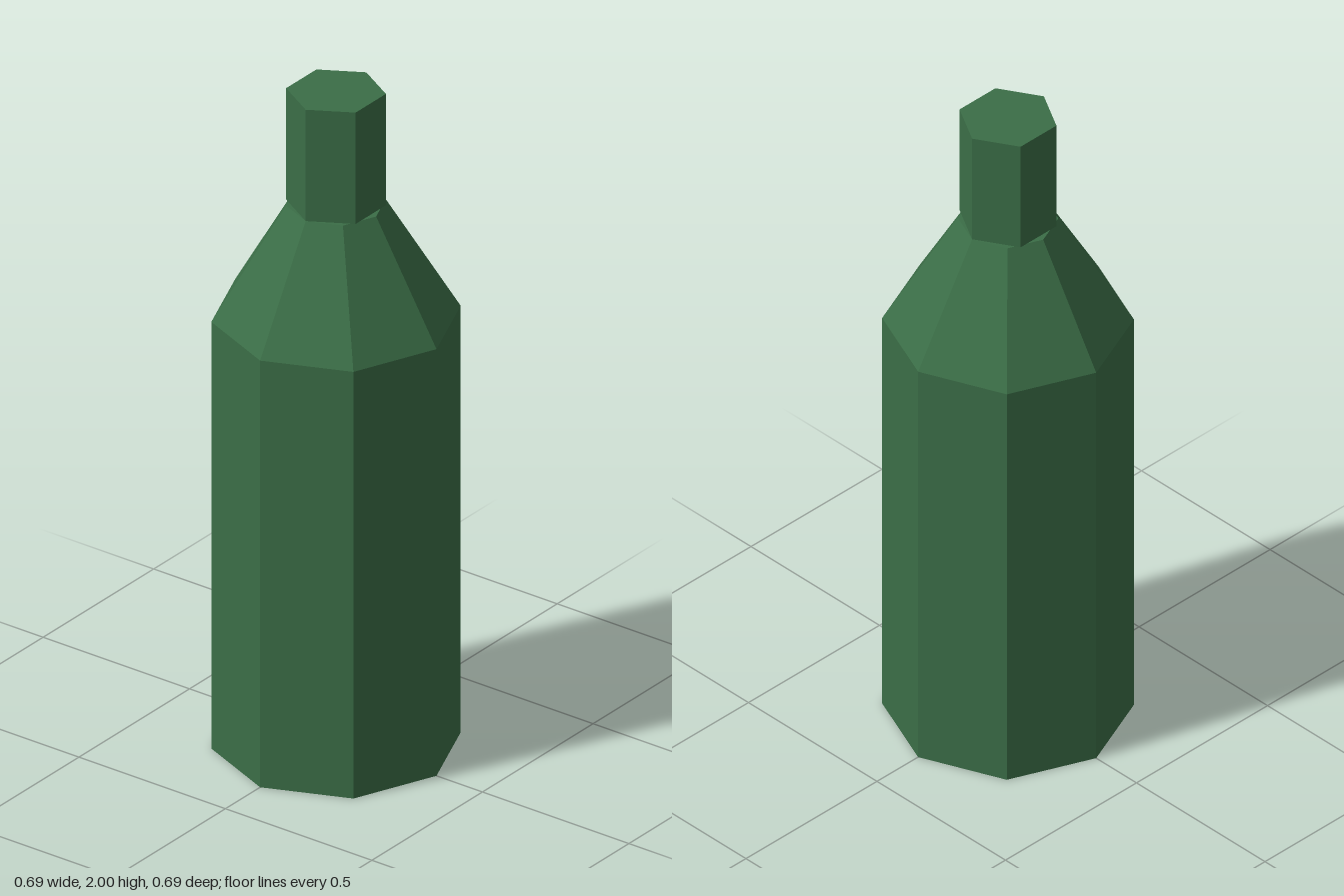
import * as THREE from 'three';

export function createModel() {
  const model = new THREE.Group();
  model.name = 'bottle';

  const bottleGreen = new THREE.MeshStandardMaterial({ color: 0x3b6e47, flatShading: true });
  bottleGreen.name = 'bottleGreen';

  // Adds one faceted section standing between two heights
  function addSection(name, topRadius, bottomRadius, y0, y1, sides, turn = 0, open = false) {
    const geometry = new THREE.CylinderGeometry(topRadius, bottomRadius, y1 - y0, sides, 1, open, turn);
    const mesh = new THREE.Mesh(geometry, bottleGreen);
    mesh.name = name;
    mesh.position.y = (y0 + y1) / 2;
    model.add(mesh);
  }

  // Octagonal body and tapering shoulder
  addSection('body', 0.343, 0.343, 0, 1.314, 8);
  addSection('shoulder', 0.137, 0.343, 1.314, 1.657, 8);
  // Six-sided neck with corners on the x axis
  addSection('neck', 0.137, 0.137, 1.657, 2, 6, Math.PI / 2);

  return model;
}
